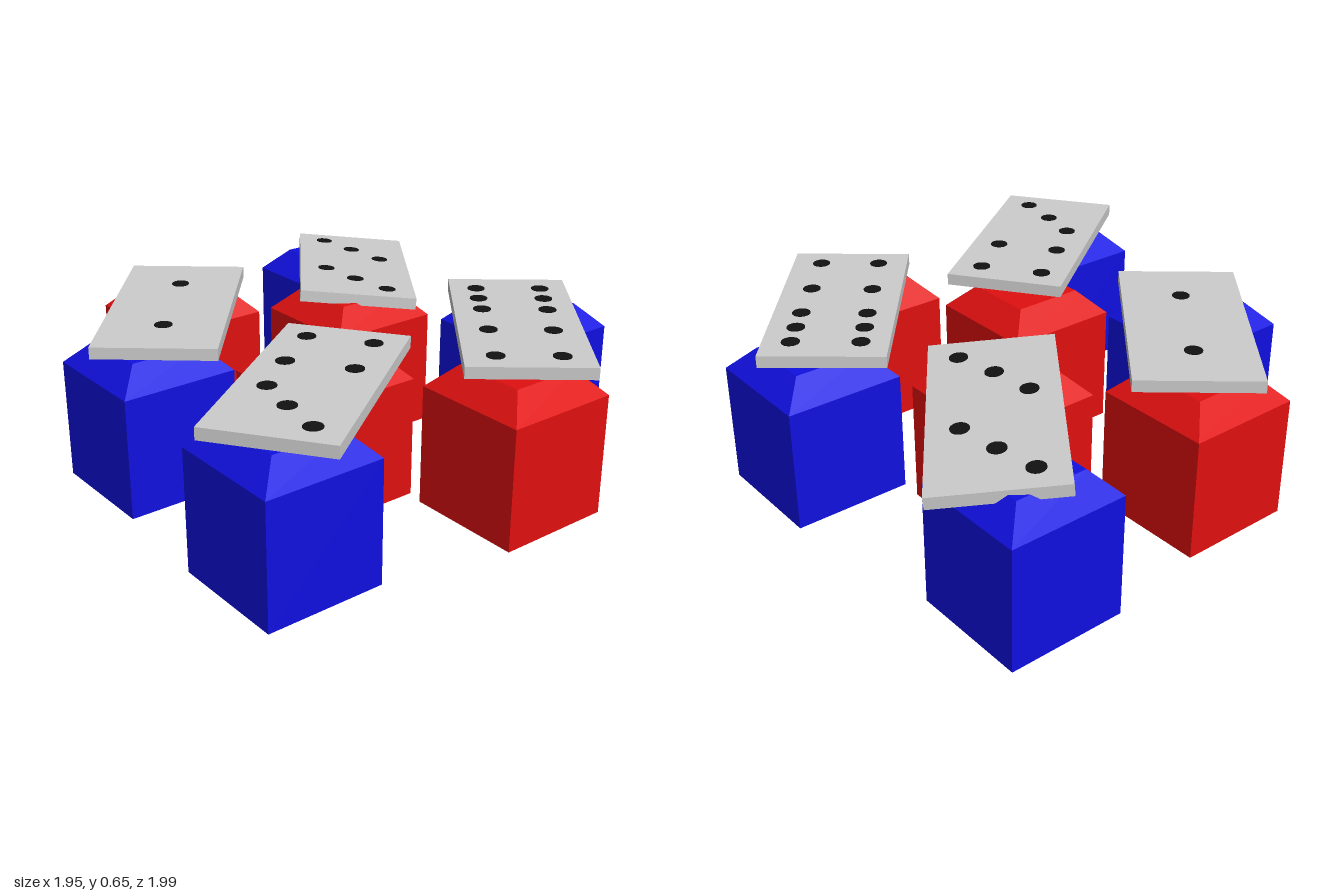
import * as THREE from 'three';

const paint = (name, color) => Object.assign(new THREE.MeshStandardMaterial({ color }), { name });

const W = 0.458;            // block width
const WALL = 0.465;         // straight wall height
const ROOF = 0.09;          // sloped top height
const SLAB = [0.919, 0.045, 0.46];

export function createModel() {
  const model = new THREE.Group();
  const red = paint('red', 0xe01010);
  const blue = paint('blue', 0x1010e0);
  const grey = paint('light grey', 0xcccccc);
  const black = paint('black', 0x111111);

  // shared geometries; the roof is a four-sided frustum
  const wallGeo = new THREE.BoxGeometry(W, WALL, W).translate(0, WALL / 2, 0);
  const roofGeo = new THREE.CylinderGeometry(0.14 * Math.SQRT2, W / Math.SQRT2, ROOF, 4)
    .rotateY(Math.PI / 4).translate(0, WALL + ROOF / 2, 0).toNonIndexed();
  roofGeo.computeVertexNormals();
  const slabGeo = new THREE.BoxGeometry(...SLAB);
  const dotGeo = new THREE.CylinderGeometry(0.034, 0.034, 0.004, 24);

  const add = (parent, name, geo, mat) => {
    const mesh = new THREE.Mesh(geo, mat);
    mesh.name = name;
    parent.add(mesh);
    return mesh;
  };

  // block with a bevelled top
  function block(name, mat, x, y, z) {
    const g = new THREE.Group();
    g.name = name;
    add(g, 'wall', wallGeo, mat);
    add(g, 'slopedTop', roofGeo, mat);
    g.position.set(x, y, z);
    model.add(g);
  }

  // dotted slab; dots are given as plan positions [x, z]
  function slab(name, x, top, z, degrees, dots, tiltX = 0, tiltZ = 0) {
    const g = new THREE.Group();
    const a = THREE.MathUtils.degToRad(degrees);
    g.name = name;
    add(g, 'slab', slabGeo, grey);
    const sides = tiltX ? [1, -1] : [1];   // the tilted slab is dotted on both faces
    for (const [px, pz] of dots) {
      const dx = px - x, dz = pz - z;
      for (const s of sides) {
        add(g, 'dot', dotGeo, black).position.set(
          dx * Math.cos(a) - dz * Math.sin(a),
          s * (SLAB[1] / 2 + 0.001),
          dx * Math.sin(a) + dz * Math.cos(a));
      }
    }
    g.rotation.set(tiltX, a, tiltZ, 'YXZ');
    g.position.set(x, top - SLAB[1] / 2, z);
    model.add(g);
  }

  // four pairs of blocks
  block('backRightRedBlock', red, -0.225, 0.02, -0.72);
  block('backRightBlueBlock', blue, -0.65, 0.02, -0.275);
  block('backLeftBlueBlock', blue, 0.61, 0, -0.77);
  block('backLeftRedBlock', red, 0.29, 0.025, -0.26);
  block('frontRightRedBlock', red, -0.2, 0.028, 0.207);
  block('frontRightBlueBlock', blue, -0.69, 0.028, 0.62);
  block('frontLeftBlueBlock', blue, 0.745, 0.028, 0.28);
  block('frontLeftRedBlock', red, 0.24, 0.028, 0.735);

  // one slab across each pair
  slab('backRightSlab', -0.42, 0.622, -0.466, 49.9, [[-0.27, -0.646], [-0.566, -0.291]]);
  slab('backLeftSlab', 0.497, 0.593, -0.485, 53.1, [
    [0.614, -0.841], [0.635, -0.672], [0.651, -0.497],
    [0.339, -0.476], [0.354, -0.302], [0.381, -0.132]], 0.086, -0.049);
  slab('frontRightSlab', -0.467, 0.645, 0.481, 35.5, [
    [-0.254, 0.175], [-0.45, 0.312], [-0.62, 0.444], [-0.66, 0.61],
    [-0.69, 0.783], [-0.307, 0.513], [-0.11, 0.376]]);
  slab('frontLeftSlab', 0.492, 0.628, 0.49, 50.5, [
    [0.614, 0.143], [0.54, 0.233], [0.466, 0.328], [0.333, 0.497], [0.175, 0.693],
    [0.81, 0.302], [0.735, 0.392], [0.656, 0.487], [0.513, 0.65], [0.354, 0.84]]);

  return model;
}
